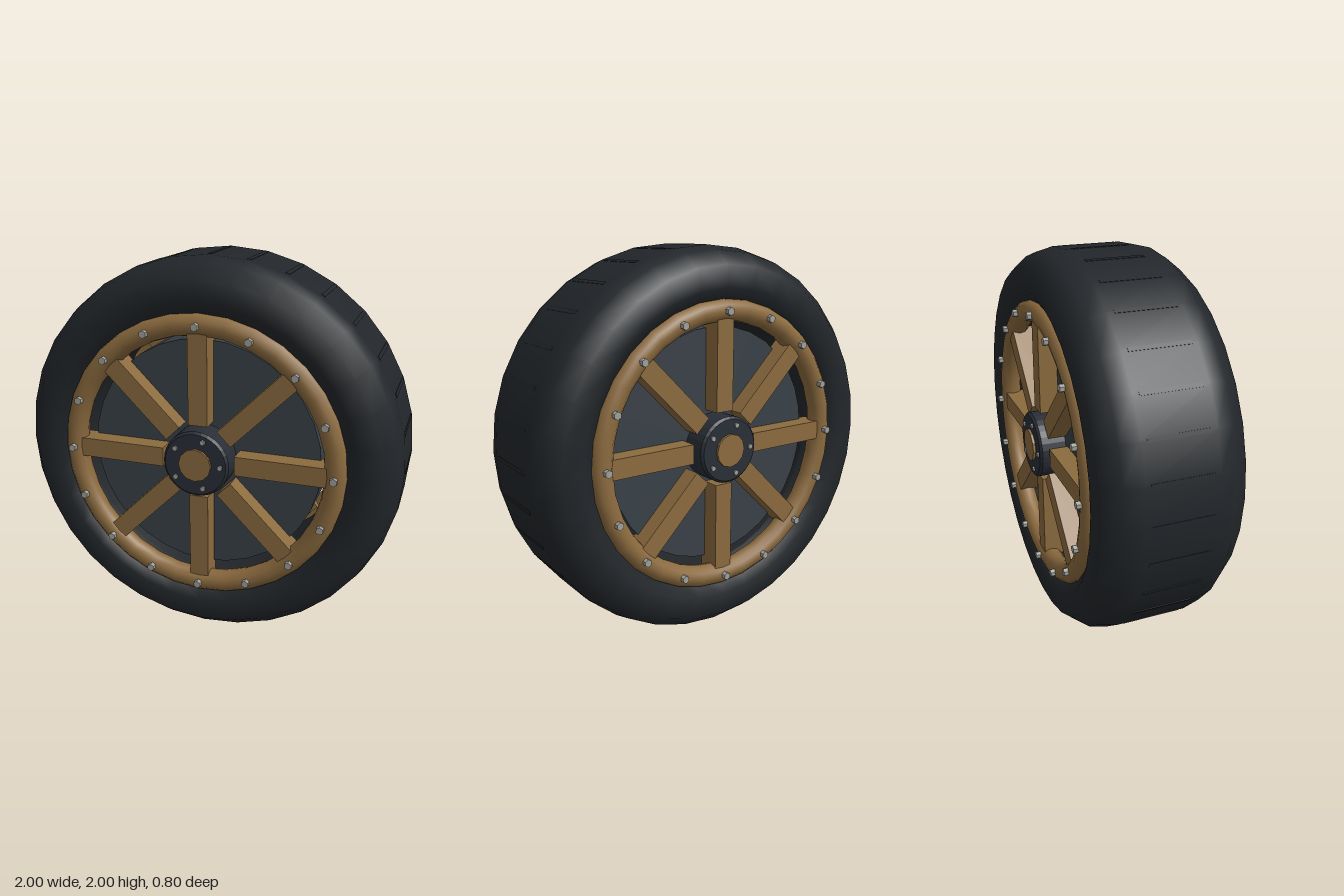
import * as THREE from 'three';

const mat = (color) => new THREE.MeshStandardMaterial({ color });
const flat = (color) => new THREE.MeshStandardMaterial({ color, flatShading: true });

const rubber = mat(0x22262a);
const wood = mat(0x8c6b3f);
const woodFlat = flat(0x8c6b3f);
const plate = flat(0x394147);
const iron = flat(0x292e37);
const steel = flat(0xa0a09c);

function add(parent, name, geometry, material, x = 0, y = 0, z = 0) {
  const mesh = new THREE.Mesh(geometry, material);
  mesh.name = name;
  mesh.position.set(x, y, z);
  parent.add(mesh);
  return mesh;
}

// Cylinder lying along z, from z0 to z1
function disc(radius, z0, z1, sides, outer = radius) {
  const g = new THREE.CylinderGeometry(outer, radius, z1 - z0, sides);
  return g.rotateX(Math.PI / 2).translate(0, 0, (z0 + z1) / 2);
}

// Repeat a part around the axle
function around(count, build) {
  for (let i = 0; i < count; i++) build((i / count) * Math.PI * 2);
}

// One face of the wheel: ring, spokes, hub and bolts
function createFace() {
  const face = new THREE.Group();

  add(face, 'rimRing', new THREE.TorusGeometry(0.693, 0.057, 12, 32), wood, 0, 0, 0.307);

  const spoke = new THREE.BoxGeometry(0.48, 0.1, 0.12).translate(0.43, 0, 0.285);
  around(8, (a) => { add(face, 'spoke', spoke, woodFlat).rotation.z = a; });

  const rimBolt = disc(0.02, 0.35, 0.385, 6);
  around(16, (a) => add(face, 'rimBolt', rimBolt, steel, 0.69 * Math.cos(a), 0.69 * Math.sin(a)));

  add(face, 'hub', disc(0.172, 0.2, 0.375, 32), iron);
  add(face, 'hubBevel', disc(0.172, 0.375, 0.387, 32, 0.16), iron);
  add(face, 'axleCap', disc(0.085, 0.37, 0.4, 12), woodFlat);

  const hubBolt = disc(0.014, 0.38, 0.396, 6);
  around(5, (a) => add(face, 'hubBolt', hubBolt, steel, 0.13 * Math.cos(a), 0.13 * Math.sin(a)));
  return face;
}

export function createModel() {
  const wheel = new THREE.Group();
  wheel.name = 'wheel';
  wheel.position.y = 1;

  // Tyre: half profile (radius, z) mirrored and closed through the bore
  const half = [[1, 0.18], [0.978, 0.27], [0.91, 0.355], [0.8, 0.355], [0.73, 0.31], [0.685, 0.2]];
  const profile = [
    ...half.slice().reverse().map(([r, z]) => new THREE.Vector2(r, -z)),
    ...half.map(([r, z]) => new THREE.Vector2(r, z)),
    new THREE.Vector2(0.685, -0.2),
  ];
  add(wheel, 'tyre', new THREE.LatheGeometry(profile, 32).rotateX(Math.PI / 2), rubber);

  // Thin tread bars
  const bar = new THREE.BoxGeometry(0.02, 0.02, 0.3).translate(0.991, 0, 0);
  around(32, (a) => { add(wheel, 'treadBar', bar, rubber).rotation.z = a; });

  // Solid centre plate behind the spokes
  add(wheel, 'centrePlate', disc(0.608, -0.25, 0.25, 32), plate);

  const front = createFace();
  front.name = 'frontFace';
  const back = createFace();
  back.name = 'backFace';
  back.rotation.y = Math.PI;
  wheel.add(front, back);

  const model = new THREE.Group();
  model.add(wheel);
  return model;
}
